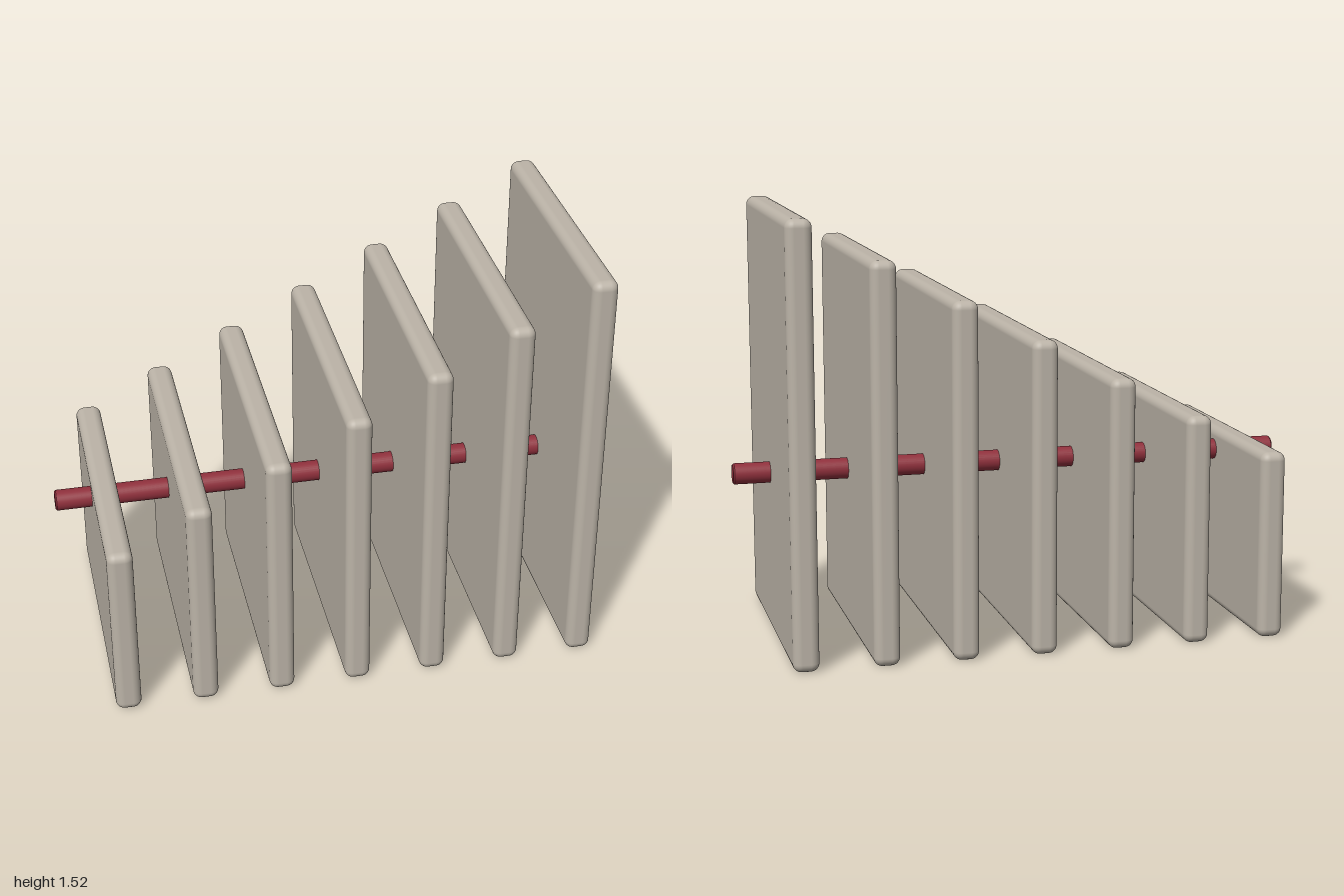
import * as THREE from 'three';
import { RoundedBoxGeometry } from 'three/addons/geometries/RoundedBoxGeometry.js';

export function createModel() {
  const model = new THREE.Group();
  model.name = 'steppedPlatesOnRod';
  const stone = new THREE.MeshStandardMaterial({ color: 0xbbb3a7 });
  const red = new THREE.MeshStandardMaterial({ color: 0x8f303c });

  // Seven upright plates, growing evenly taller toward +x
  const count = 7, spacing = 0.275, thickness = 0.09, depth = 1.0;
  const shortest = 0.666, tallest = 1.517;
  for (let i = 0; i < count; i++) {
    const height = THREE.MathUtils.lerp(shortest, tallest, i / (count - 1));
    const plate = new THREE.Mesh(new RoundedBoxGeometry(thickness, height, depth, 4, 0.03), stone);
    plate.name = `plate${i + 1}`;
    plate.position.set((i - (count - 1) / 2) * spacing, height / 2, 0);
    model.add(plate);
  }

  // Rod through all plates, with a tiny chamfer at both ends
  const r = 0.037, c = 0.005;
  const profile = [[0, -1], [r - c, -1], [r - c, -1], [r, -1 + c], [r, -1 + c],
    [r, 1 - c], [r, 1 - c], [r - c, 1], [r - c, 1], [0, 1]]
    .map(([x, y]) => new THREE.Vector2(x, y));
  const rod = new THREE.Mesh(new THREE.LatheGeometry(profile, 32), red);
  rod.name = 'rod';
  rod.rotation.z = -Math.PI / 2;
  rod.position.y = 0.587;
  model.add(rod);

  return model;
}
